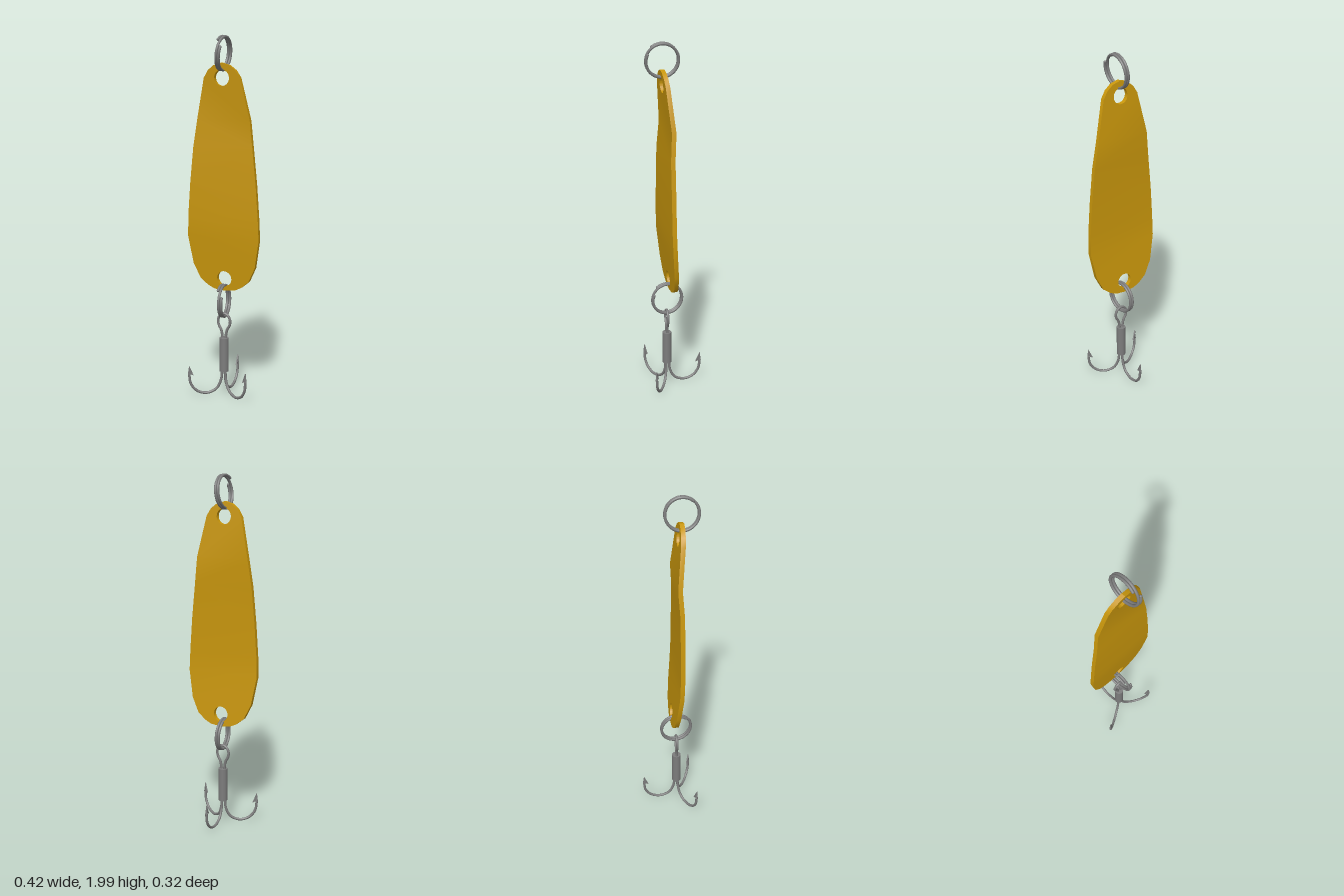
import * as THREE from 'three';
import { mergeGeometries, toCreasedNormals } from 'three/addons/utils/BufferGeometryUtils.js';

const gold = new THREE.MeshStandardMaterial({ color: 0xc8960c });
const steel = new THREE.MeshStandardMaterial({ color: 0x7c7c7c });
const WIRE = 0.0075;

function mesh(name, geometry, material) {
  const m = new THREE.Mesh(geometry, material);
  m.name = name;
  return m;
}

// Round wire along a smooth curve, with rounded ends
function wire(name, points, segments, closed = false) {
  const curve = new THREE.CatmullRomCurve3(points, closed);
  const parts = [new THREE.TubeGeometry(curve, segments, WIRE, 10, closed)];
  if (!closed) {
    for (const p of [points[0], points[points.length - 1]]) {
      parts.push(new THREE.SphereGeometry(WIRE, 10, 6).translate(p.x, p.y, p.z));
    }
  }
  return mesh(name, mergeGeometries(parts), steel);
}

// Bent metal blade: flat bands joined at the bend lines, with a hole at each end
function blade() {
  const outline = [ // half width, height
    [0, 0.6], [0.06, 0.606], [0.1, 0.625], [0.145, 0.662], [0.185, 0.745], [0.212, 0.9],
    [0.208, 1.02], [0.195, 1.2], [0.175, 1.4], [0.155, 1.55],
    [0.105, 1.775], [0.08, 1.815], [0.045, 1.842], [0, 1.855],
  ];
  const bends = [[0.6, 0.016], [0.9, 0.042], [1.02, 0.046], [1.4, 0.046], [1.55, 0.036], [1.855, 0.063]]; // height, depth
  const holes = [0.67, 1.775];
  const thickness = 0.024;
  const bands = [];
  for (let i = 0; i < bends.length - 1; i++) {
    const [y0, z0] = bends[i], [y1, z1] = bends[i + 1];
    const side = outline.filter(([, y]) => y >= y0 && y <= y1);
    const mirrored = side.filter(([x]) => x > 0).reverse().map(([x, y]) => [-x, y]);
    const shape = new THREE.Shape([...side, ...mirrored].map(([x, y]) => new THREE.Vector2(x, y)));
    for (const y of holes) {
      if (y > y0 && y < y1) shape.holes.push(new THREE.Path().absarc(0, y, 0.043, 0, Math.PI * 2, true));
    }
    const g = new THREE.ExtrudeGeometry(shape, { depth: thickness, bevelEnabled: false, curveSegments: 24 });
    const p = g.attributes.position;
    for (let k = 0; k < p.count; k++) {
      const t = (p.getY(k) - y0) / (y1 - y0);
      p.setZ(k, p.getZ(k) - thickness / 2 + z0 + t * (z1 - z0));
    }
    bands.push(g);
  }
  return mesh('blade', toCreasedNormals(mergeGeometries(bands), 0.5), gold);
}

// Split ring: nearly two turns of wire lying side by side
function splitRing(name) {
  const points = [];
  const n = 60, turns = 1.92, r = 0.095 - WIRE;
  for (let i = 0; i <= n; i++) {
    const a = 0.9 + (i / n) * turns * Math.PI * 2;
    const x = THREE.MathUtils.lerp(-0.015, 0.015, i / n);
    points.push(new THREE.Vector3(x, Math.sin(a) * r, Math.cos(a) * r));
  }
  return wire(name, points, 130);
}

// One hook in the plane of its own radius (x) and height (y)
function hookArm() {
  const arm = new THREE.Group();
  arm.name = 'hookArm';
  const path = [
    [0.012, 0.2], [0.012, 0.14], [0.018, 0.085], [0.045, 0.035], [0.1, 0.0125],
    [0.155, 0.028], [0.189, 0.07], [0.198, 0.125],
  ].map(([x, y]) => new THREE.Vector3(x, y, 0));
  arm.add(wire('hookBend', path, 48));

  const point = mesh('hookPoint', new THREE.ConeGeometry(WIRE, 0.055, 10), steel);
  point.position.set(0.198, 0.151, 0);
  arm.add(point);

  const barbShape = new THREE.Shape([[0.173, 0.118], [0.198, 0.128], [0.198, 0.174]].map(([x, y]) => new THREE.Vector2(x, y)));
  const barb = new THREE.ExtrudeGeometry(barbShape, { depth: 0.008, bevelEnabled: false });
  arm.add(mesh('barb', barb.translate(0, 0, -0.004), steel));
  return arm;
}

function trebleHook() {
  const hook = new THREE.Group();
  hook.name = 'trebleHook';

  // Eye loop whose two legs run down into the sleeve
  const half = [[0.011, 0.3], [0.011, 0.345], [0.018, 0.378], [0.034, 0.41], [0.036, 0.437], [0.022, 0.463]];
  const eye = [
    ...half.map(([x, y]) => new THREE.Vector3(x, y, 0)),
    new THREE.Vector3(0, 0.472, 0),
    ...half.slice().reverse().map(([x, y]) => new THREE.Vector3(-x, y, 0)),
  ];
  hook.add(wire('eye', eye, 64));

  const sleeve = mesh('sleeve', new THREE.CylinderGeometry(0.026, 0.026, 0.195, 24), steel);
  sleeve.position.y = 0.235;
  hook.add(sleeve);

  // Three arms, one straight to the back
  for (let i = 0; i < 3; i++) {
    const arm = hookArm();
    arm.rotation.y = Math.PI / 2 + (i * Math.PI * 2) / 3;
    hook.add(arm);
  }
  hook.position.set(0.003, 0, 0.043);
  return hook;
}

export function createModel() {
  const model = new THREE.Group();
  model.name = 'fishingSpoon';
  model.add(blade());

  const topRing = splitRing('topRing');
  topRing.position.set(0.008, 1.904, 0.065);
  topRing.rotation.z = -0.13;
  model.add(topRing);

  const lowerRing = splitRing('lowerRing');
  lowerRing.position.set(0, 0.545, 0.04);
  lowerRing.rotation.y = 0.08;
  model.add(lowerRing);

  model.add(trebleHook());
  return model;
}
